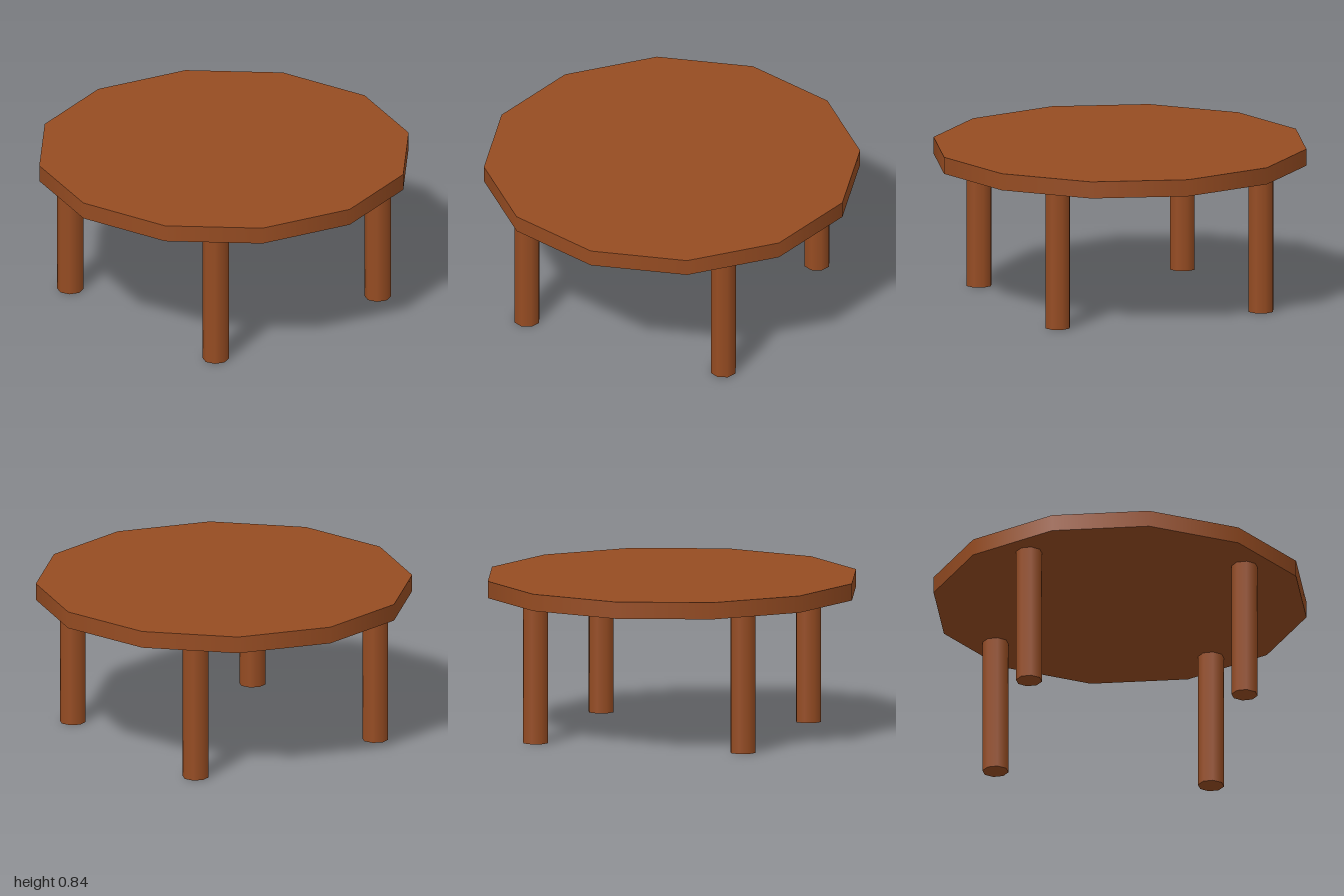
import * as THREE from 'three';

export function createModel() {
  const table = new THREE.Group();
  table.name = 'roundTable';
  const wood = new THREE.MeshStandardMaterial({ color: 0x964c22 });
  wood.name = 'brown wood';

  const legHeight = 0.75;
  const topThickness = 0.09;

  // Twelve-sided table top with a smooth-shaded rim
  const top = new THREE.Mesh(new THREE.CylinderGeometry(1, 1, topThickness, 12), wood);
  top.name = 'tableTop';
  top.position.y = legHeight + topThickness / 2;
  table.add(top);

  // Four eight-sided legs, mirrored across both axes
  const legGeometry = new THREE.CylinderGeometry(0.07, 0.07, legHeight, 8);
  for (const [side, x] of [['Left', 0.576], ['Right', -0.576]]) {
    for (const [end, z] of [['front', 0.578], ['back', -0.578]]) {
      const leg = new THREE.Mesh(legGeometry, wood);
      leg.name = `${end}${side}Leg`;
      leg.position.set(x, legHeight / 2, z);
      table.add(leg);
    }
  }
  return table;
}
